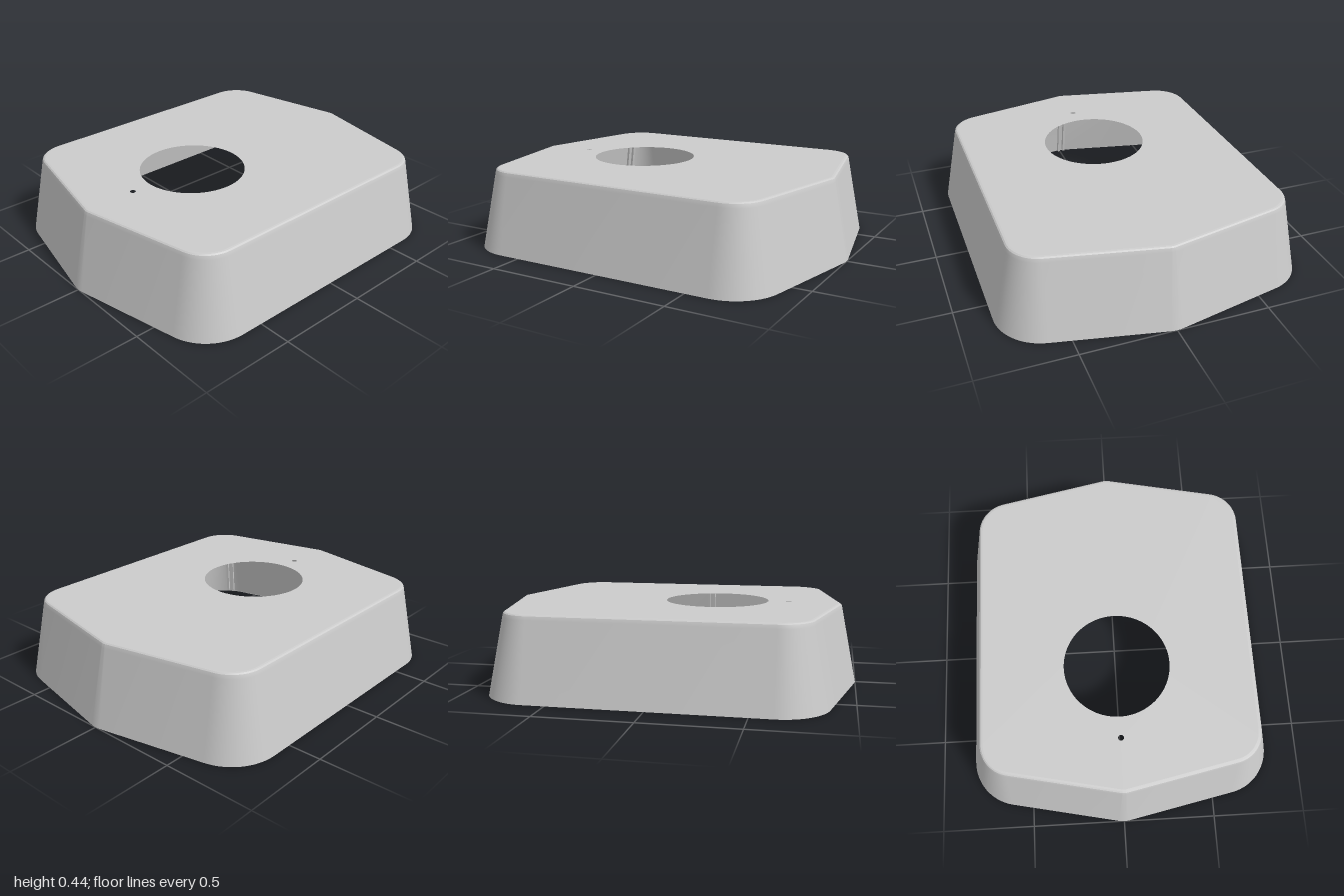
import * as THREE from 'three';
import { toCreasedNormals } from 'three/addons/utils/BufferGeometryUtils.js';

const HEIGHT = 0.435, CEILING = 0.41, WALL = 0.05;
const SLOPE = 0.2; // inward lean of the walls per unit of height
const TIP = Math.atan(0.2); // angle of the pointed front and back edges
const Q = Math.PI / 2;

// Arcs of the footprint: centre x, centre z, radius, start and end angle
const CORNER = { x: 0.563, z: 0.62, r: 0.26 };
const ARCS = [
  [CORNER.x, CORNER.z, CORNER.r, 0, Q - TIP],
  [0, 0.85, 0.15, Q - TIP, Q + TIP],
  [-CORNER.x, CORNER.z, CORNER.r, Q + TIP, 2 * Q],
  [-CORNER.x, -CORNER.z, CORNER.r, 2 * Q, 3 * Q - TIP],
  [0, -0.85, 0.15, 3 * Q - TIP, 3 * Q + TIP],
  [CORNER.x, -CORNER.z, CORNER.r, 3 * Q + TIP, 4 * Q],
];

// Footprint offset inwards by a given inset, as [x, z] points
function outline(inset) {
  const pts = [];
  for (const [cx, cz, r, a0, a1] of ARCS) {
    const n = cx === 0 ? 4 : 14;
    for (let i = 0; i <= n; i++) {
      const a = a0 + ((a1 - a0) * i) / n;
      pts.push([cx + (r - inset) * Math.cos(a), cz + (r - inset) * Math.sin(a)]);
    }
  }
  return pts;
}

// Skin through footprints at the given [inset, y] steps
function loft(profile) {
  const positions = [], index = [];
  let n = 0;
  for (const [inset, y] of profile) {
    const ring = outline(inset);
    n = ring.length;
    for (const [x, z] of ring) positions.push(x, y, z);
  }
  for (let k = 0; k < profile.length - 1; k++) {
    for (let i = 0; i < n; i++) {
      const a = k * n + i, b = k * n + ((i + 1) % n);
      index.push(a, a + n, b, b, a + n, b + n);
    }
  }
  const geo = new THREE.BufferGeometry();
  geo.setAttribute('position', new THREE.Float32BufferAttribute(positions, 3));
  geo.setIndex(index);
  return toCreasedNormals(geo, 0.5);
}

export function createModel() {
  const model = new THREE.Group();
  const material = new THREE.MeshStandardMaterial({ color: 0xcccccc });
  const add = (name, geo, parent = model) => {
    const mesh = new THREE.Mesh(geo, material);
    mesh.name = name;
    parent.add(mesh);
    return mesh;
  };

  // Inner wall, stepped bottom rim, outer wall and rounded top edge
  add('wall', loft([
    [0.15, CEILING], [WALL + 0.39 * SLOPE, 0.39], [WALL, 0.014],
    [0.026, 0.014], [0.026, 0], [0, 0],
    [0.0825, 0.408], [0.0845, 0.418], [0.088, 0.428], [0.095, 0.4335], [0.105, HEIGHT],
  ]));

  // Top plate with the large round opening and the small hole in front of it
  const shape = new THREE.Shape(outline(0.105).map(([x, z]) => new THREE.Vector2(x, -z)));
  for (const [z, r] of [[0.23, 0.284], [0.627, 0.015]]) {
    shape.holes.push(new THREE.Path().absarc(0, -z, r, 0, Math.PI * 2, true));
  }
  const plate = new THREE.ExtrudeGeometry(shape, {
    depth: HEIGHT - CEILING, bevelEnabled: false, curveSegments: 48,
  });
  plate.rotateX(-Math.PI / 2).translate(0, CEILING, 0);
  add('topPlate', toCreasedNormals(plate, 0.5));

  // Paired ribs up the inside of the wall, leaning with it
  const ribHeight = 0.385;
  const ribGeo = new THREE.BoxGeometry(0.014, ribHeight, 0.04);
  const pos = ribGeo.attributes.position;
  for (let i = 0; i < pos.count; i++) {
    const y = pos.getY(i) + ribHeight / 2;
    pos.setXYZ(i, pos.getX(i), y + 0.02, pos.getZ(i) - (y + 0.02) * SLOPE);
  }
  ribGeo.computeVertexNormals();
  const addRibs = (name, x, z, angle) => {
    const pair = new THREE.Group();
    pair.name = name;
    pair.position.set(x, 0, z);
    pair.rotation.y = Q - angle;
    for (const s of [-1, 1]) add('rib', ribGeo, pair).position.x = s * 0.016;
    model.add(pair);
  };
  const inner = CORNER.r - WALL - 0.004, a = 1.07;
  for (const sz of [1, -1]) {
    addRibs(sz > 0 ? 'frontRibs' : 'backRibs', 0, sz * (1 - WALL - 0.004), sz * Q);
    for (const sx of [1, -1]) {
      const dx = sx * Math.cos(a), dz = sz * Math.sin(a);
      addRibs('cornerRibs', sx * CORNER.x + inner * dx, sz * CORNER.z + inner * dz, Math.atan2(dz, dx));
    }
  }
  for (const sx of [1, -1]) {
    addRibs('sideRibs', sx * (CORNER.x + inner), 0.09, sx > 0 ? 0 : Math.PI);
  }
  return model;
}
